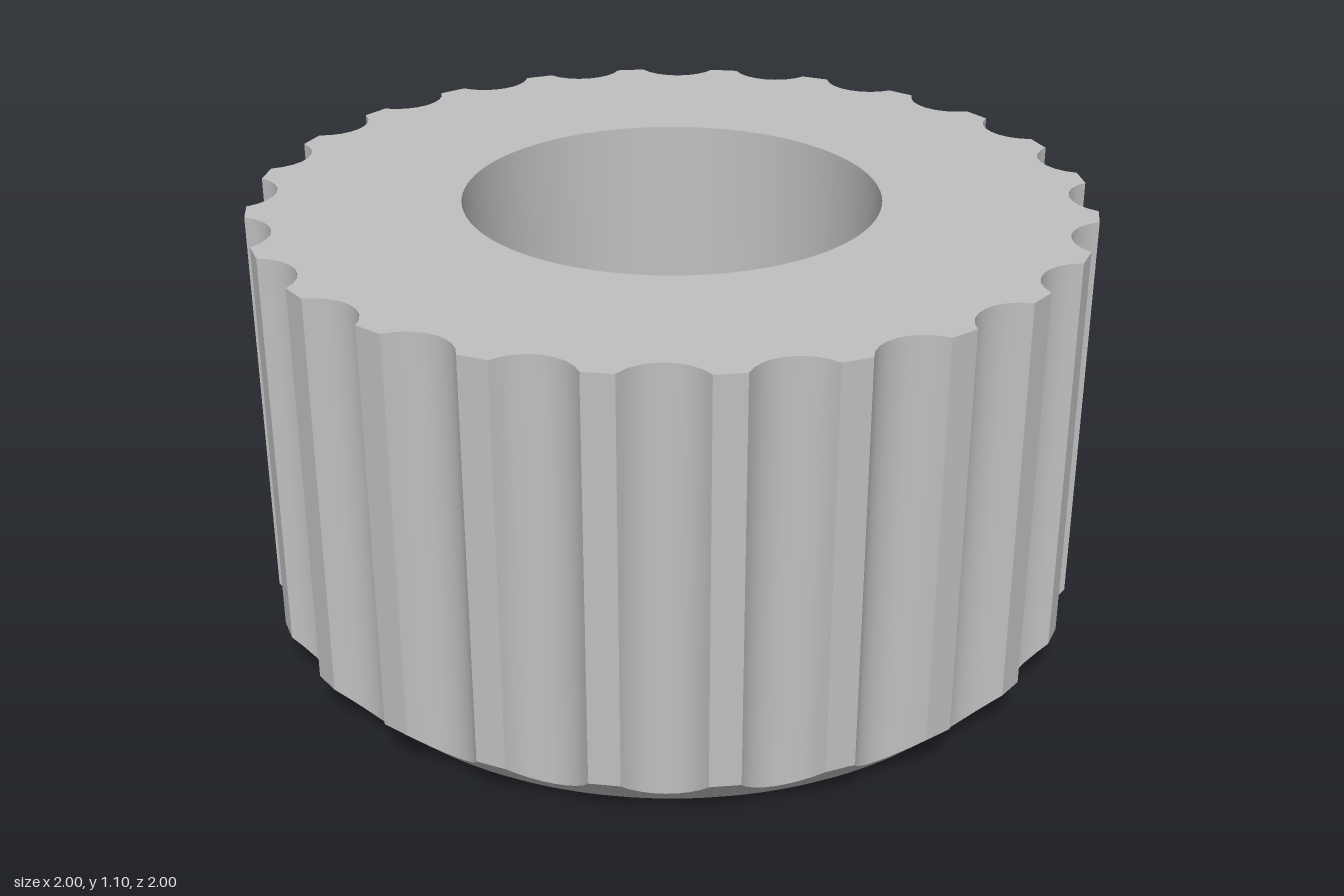
import * as THREE from 'three';
import { toCreasedNormals } from 'three/addons/utils/BufferGeometryUtils.js';

const TEETH = 24, HEIGHT = 1.1, RADIUS = 1.004, BASE_RADIUS = 0.893;

// Outline of the fluted grip: arc-shaped grooves separated by narrow lands
function gripOutline() {
  const points = [], cutRadius = 0.111, cutCentre = 1.056, steps = 8;
  const sweep = Math.acos((cutCentre ** 2 + cutRadius ** 2 - RADIUS ** 2) / (2 * cutCentre * cutRadius));
  for (let i = 0; i < TEETH; i++) {
    const turn = (i / TEETH) * Math.PI * 2;
    for (let j = 0; j <= steps; j++) {
      const a = -sweep + (2 * sweep * j) / steps;
      const x = Math.sin(a) * cutRadius, z = cutCentre - Math.cos(a) * cutRadius;
      points.push({ angle: turn + Math.atan2(x, z), r: Math.hypot(x, z) });
    }
  }
  return points;
}

// Smooth-shaded band between two rings, each given as a function of an outline point
function band(outline, low, high) {
  const positions = [];
  const place = (p, [r, y]) => [Math.sin(p.angle) * r, y, Math.cos(p.angle) * r];
  outline.forEach((p, i) => {
    const q = outline[(i + 1) % outline.length];
    const a = place(p, low(p)), b = place(q, low(q)), c = place(q, high(q)), d = place(p, high(p));
    positions.push(...a, ...b, ...c, ...a, ...c, ...d);
  });
  const geometry = new THREE.BufferGeometry();
  geometry.setAttribute('position', new THREE.Float32BufferAttribute(positions, 3));
  return toCreasedNormals(geometry, 0.45);
}

export function createModel() {
  const model = new THREE.Group();
  model.name = 'flutedKnob';
  const grey = new THREE.MeshStandardMaterial({ color: 0xc0c0c0 });
  grey.name = 'grey';
  const add = (name, geometry) => {
    const mesh = new THREE.Mesh(geometry, grey);
    mesh.name = name;
    model.add(mesh);
    return mesh;
  };

  const outline = gripOutline();
  const chamferEdge = (p) => [p.r, p.r - BASE_RADIUS];

  // Fluted side wall and the 45 degree chamfer that cuts its lower end
  add('flutedGrip', band(outline, chamferEdge, (p) => [p.r, HEIGHT]));
  add('chamfer', band(outline, () => [BASE_RADIUS, 0], chamferEdge));

  // Flat top with the round opening
  const rim = new THREE.Shape(outline.map((p) =>
    new THREE.Vector2(Math.sin(p.angle) * p.r, -Math.cos(p.angle) * p.r)));
  rim.holes.push(new THREE.Path().absarc(0, 0, 0.5, 0, Math.PI * 2, true));
  add('topFace', new THREE.ShapeGeometry(rim, 48).rotateX(-Math.PI / 2).translate(0, HEIGHT, 0));

  // Stepped blind bore
  const bore = [[0.5, HEIGHT], [0.5, 0.45], [0.31, 0.45], [0.31, 0.2], [0, 0.2]]
    .map(([r, y]) => new THREE.Vector2(r, y));
  add('steppedBore', toCreasedNormals(new THREE.LatheGeometry(bore, 96), 0.5));

  // Closed underside
  add('underside', new THREE.CircleGeometry(BASE_RADIUS, 96).rotateX(Math.PI / 2));

  return model;
}
